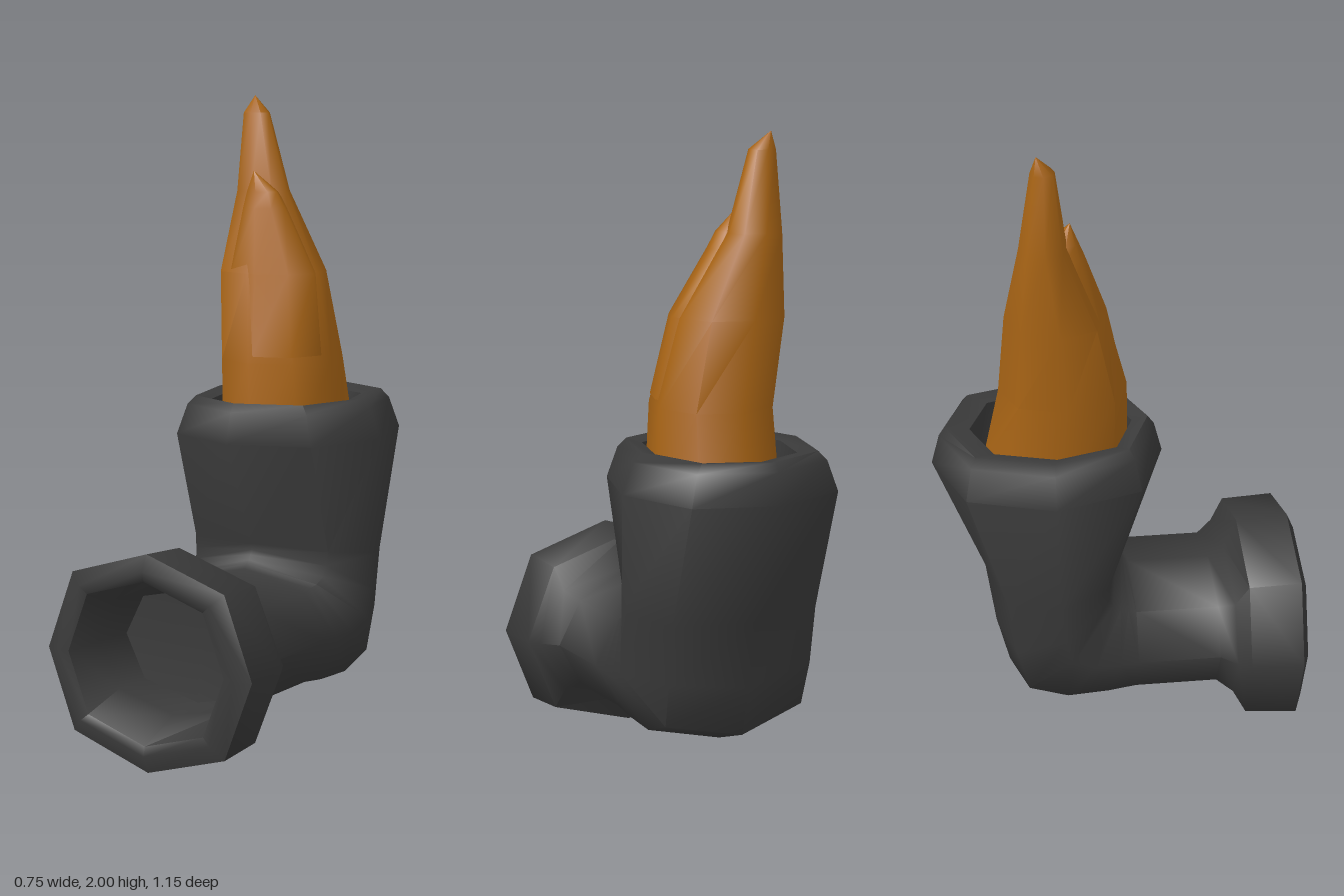
import * as THREE from 'three';
import { toCreasedNormals } from 'three/addons/utils/BufferGeometryUtils.js';

const SIDES = 8;

// Skins octagonal rings, each given as [yA, zA, yB, zB, xMin, xMax]:
// A and B are the two ends of the ring's axis in the side plane.
function loft(rings, crease) {
  const pos = [], index = [];
  for (const [yA, zA, yB, zB, x0, x1] of rings) {
    for (let j = 0; j < SIDES; j++) {
      const a = (j / SIDES) * Math.PI * 2;
      const k = j % 2 ? 1.05 : 1;
      const c = Math.cos(a) * k, s = Math.sin(a) * k;
      pos.push(
        (x0 + x1) / 2 + (c * (x1 - x0)) / 2,
        (yA + yB) / 2 + (s * (yA - yB)) / 2,
        (zA + zB) / 2 + (s * (zA - zB)) / 2
      );
    }
  }
  for (let i = 0; i < rings.length - 1; i++) {
    for (let j = 0; j < SIDES; j++) {
      const n = (j + 1) % SIDES;
      const a = i * SIDES + j, b = i * SIDES + n, c = a + SIDES, d = b + SIDES;
      index.push(a, c, b, b, c, d);
    }
  }
  const geo = new THREE.BufferGeometry();
  geo.setAttribute('position', new THREE.Float32BufferAttribute(pos, 3));
  geo.setIndex(index);
  return toCreasedNormals(geo, crease);
}

// Upright ring across the horizontal pipe
const across = (z, yTop, yBottom, r) => [yTop, z, yBottom, z, -r, r];
// Level ring around the vertical parts
const level = (y, zFront, zBack, x0, x1) => [y, zFront, y, zBack, x0, x1];

function mesh(name, geometry, color) {
  const m = new THREE.Mesh(geometry, new THREE.MeshStandardMaterial({ color }));
  m.name = name;
  return m;
}

export function createModel() {
  const group = new THREE.Group();
  group.name = 'torchElbow';

  // Pipe skin: front bore, flange, elbow, flared cup, cup socket
  const pipe = loft([
    across(0.28, 0.34, 0.34, 0),
    across(0.30, 0.52, 0.16, 0.27),
    across(0.42, 0.53, 0.15, 0.28),
    across(0.57, 0.59, 0.09, 0.285),
    across(0.577, 0.62, 0.06, 0.32),
    across(0.555, 0.67, 0.005, 0.373),
    across(0.39, 0.66, 0.02, 0.368),
    across(0.35, 0.565, 0.115, 0.345),
    across(0.30, 0.53, 0.15, 0.30),
    across(0.04, 0.53, 0.15, 0.30),
    [0.545, 0.025, 0.135, -0.06, -0.305, 0.305],
    [0.555, 0.018, 0.13, -0.21, -0.315, 0.315],
    [0.57, 0.01, 0.18, -0.35, -0.325, 0.325],
    [0.585, 0.003, 0.34, -0.39, -0.335, 0.335],
    [0.605, 0.005, 0.55, -0.42, -0.338, 0.338],
    level(0.94, 0.145, -0.575, -0.338, 0.338),
    level(1.035, 0.12, -0.55, -0.30, 0.30),
    level(1.062, 0.10, -0.53, -0.27, 0.27),
    level(1.05, 0.05, -0.455, -0.22, 0.22),
    level(0.90, 0.04, -0.44, -0.215, 0.215),
    level(0.90, -0.2, -0.2, 0, 0),
  ], 1.05);
  group.add(mesh('pipe', pipe, 0x3a3a3a));

  // Tall tongue of fire, leaning to the right and back
  const flame = loft([
    level(0.91, -0.19, -0.19, 0, 0),
    level(0.91, 0.04, -0.42, -0.17, 0.205),
    level(1.18, 0.035, -0.362, -0.17, 0.185),
    level(1.45, -0.035, -0.342, -0.212, 0.125),
    level(1.70, -0.155, -0.298, -0.195, -0.02),
    level(1.945, -0.19, -0.262, -0.176, -0.09),
    level(2.0, -0.245, -0.245, -0.152, -0.152),
  ], 0.95);
  group.add(mesh('flame', flame, 0xa86415));

  // Short tongue overlapping its front
  const tongue = loft([
    level(1.2, 0.025, -0.27, -0.14, 0.175),
    level(1.45, -0.03, -0.27, -0.16, 0.132),
    level(1.65, -0.1, -0.23, -0.13, 0.012),
    level(1.70, -0.12, -0.2, -0.12, -0.015),
    level(1.765, -0.145, -0.145, -0.09, -0.09),
  ], 0.95);
  group.add(mesh('frontTongue', tongue, 0xa86415));

  return group;
}
